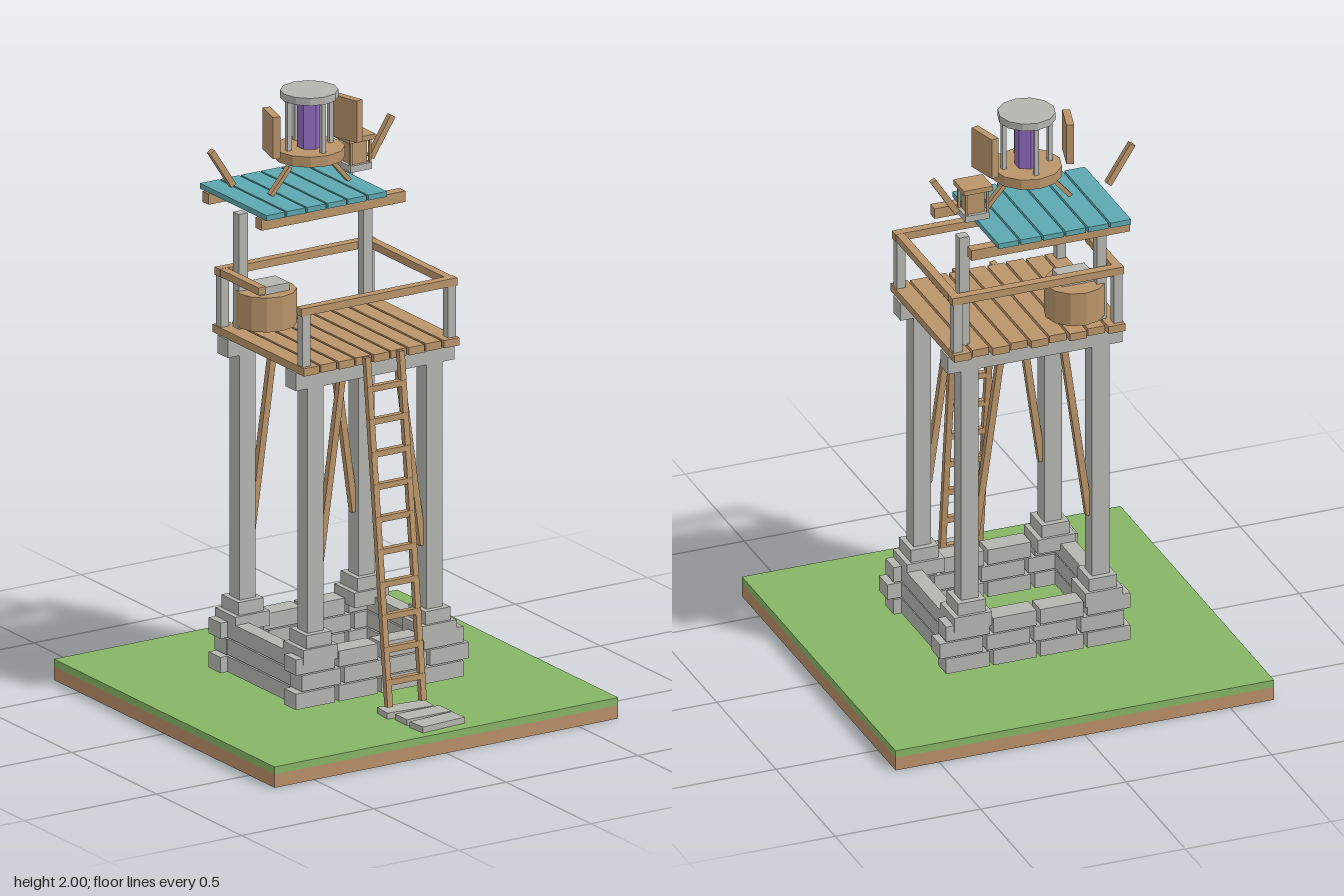
import * as THREE from 'three';

const mat = (name, color) => {
  const m = new THREE.MeshStandardMaterial({ color });
  m.name = name;
  return m;
};

export function createModel() {
  const root = new THREE.Group();
  root.name = 'watchtower';
  const stone = mat('stone', 0xb5b5b0), wood = mat('wood', 0xba946a);
  const grass = mat('grass', 0x86b566), soil = mat('soil', 0xb98f68);
  const teal = mat('teal roof', 0x5ca8b0), purple = mat('purple crystal', 0x8f6bbd);

  const add = (name, geo, m, x, y, z) => {
    const mesh = new THREE.Mesh(geo, m);
    mesh.name = name;
    mesh.position.set(x, y, z);
    root.add(mesh);
    return mesh;
  };
  // box given by its centre and size
  const box = (name, m, x, y, z, w, h, d) => add(name, new THREE.BoxGeometry(w, h, d), m, x, y, z);
  // square bar between two points
  const bar = (name, m, a, b, w, d = w) => {
    const p = new THREE.Vector3(...a), q = new THREE.Vector3(...b), dir = q.clone().sub(p);
    const mid = p.clone().add(q).multiplyScalar(0.5);
    const mesh = box(name, m, mid.x, mid.y, mid.z, w, dir.length(), d);
    mesh.quaternion.setFromUnitVectors(new THREE.Vector3(0, 1, 0), dir.normalize());
    return mesh;
  };
  const drum = (name, m, x, y, z, r, h, sides) => {
    const geo = new THREE.CylinderGeometry(r, r, h, sides).toNonIndexed();
    geo.computeVertexNormals();
    return add(name, geo, m, x, y, z);
  };

  // ground slab
  box('soil', soil, 0, 0.0225, 0, 1.3, 0.045, 1.3);
  box('grass', grass, 0, 0.0575, 0, 1.3, 0.025, 1.3);

  // stepping stones
  [[0, 0.41, -0.1], [0.014, 0.492, 0], [0.014, 0.575, 0.08]].forEach(([x, z, r]) => {
    box('steppingStone', stone, x, 0.08, z, 0.168, 0.02, 0.07).rotation.y = r;
  });

  // foundation courses
  for (let row = 0; row < 3; row++) {
    const y = 0.118 + row * 0.0575, shift = row === 1 ? 0.022 : 0;
    for (const s of [-1, 1]) {
      for (let i = 0; i < 4; i++) {
        box('foundationStone', stone, -0.2425 + i * 0.1617 + shift, y, s * 0.222, 0.148, 0.053, 0.07);
      }
      box('foundationSide', stone, s * 0.264, y, 0, 0.052, 0.053, 0.51);
    }
  }

  // legs, plinths, braces and rail posts
  for (const sx of [-1, 1]) {
    for (const sz of [-1, 1]) {
      const x = sx * 0.225, z = sz * 0.2;
      box('plinth', stone, x, 0.262, z, 0.13, 0.05, 0.12);
      box('legFoot', stone, x, 0.308, z, 0.095, 0.045, 0.1);
      box('leg', stone, x, 0.74, z, 0.06, 0.84, 0.06);
      bar('brace', wood, [sx * 0.195, 0.54, z], [sx * 0.108, 1.16, z], 0.022);
      box('railPost', stone, sx * 0.275, 1.32, sz * 0.24, 0.03, 0.17, 0.03);
    }
  }

  // platform beams and planks
  for (const s of [-1, 1]) box('platformBeam', stone, 0, 1.18, s * 0.2, 0.6, 0.06, 0.062);
  for (let i = 0; i < 9; i++) {
    box('floorPlank', wood, (i - 4) * 0.0662, 1.222, i % 2 ? 0.004 : 0, 0.058, 0.026, i % 2 ? 0.525 : 0.54);
  }

  // handrails, the left-hand one broken short
  box('frontRail', wood, 0, 1.418, 0.24, 0.59, 0.026, 0.03);
  box('backRail', wood, 0, 1.418, -0.24, 0.59, 0.026, 0.03);
  box('sideRail', wood, 0.279, 1.418, 0, 0.028, 0.025, 0.48);
  box('shortRail', wood, -0.279, 1.418, -0.12, 0.028, 0.025, 0.24);

  // barrel with a stone on its lid
  drum('barrel', wood, -0.165, 1.305, -0.157, 0.099, 0.115, 12);
  box('barrelStone', stone, -0.165, 1.375, -0.145, 0.11, 0.026, 0.085);

  // ladder
  const ladderZ = y => 0.41 - (y - 0.1) * 0.13 / 1.13;
  for (const s of [-1, 1]) {
    bar('ladderRail', wood, [s * 0.064, 0.1, 0.41], [s * 0.064, 1.235, ladderZ(1.235)], 0.02);
  }
  for (let i = 0; i < 10; i++) {
    const y = 0.18 + i * 0.1058;
    box('ladderRung', wood, 0, y, ladderZ(y), 0.148, 0.02, 0.02);
  }

  // roof posts, beams and planks
  for (const s of [-1, 1]) box('roofPost', stone, s * 0.236, 1.425, -0.195, 0.034, 0.39, 0.034);
  for (const z of [-0.345, -0.032]) box('roofBeam', wood, 0, 1.633, z, 0.545, 0.036, 0.036);
  for (let i = 0; i < 6; i++) {
    box('roofPlank', teal, -0.231 + i * 0.077, 1.661, -0.19, 0.07, 0.018, 0.392);
  }

  // beacon
  const cz = -0.157;
  drum('beaconBase', wood, 0, 1.793, cz, 0.114, 0.035, 12);
  drum('crystal', purple, 0, 1.888, cz, 0.039, 0.156, 6);
  drum('beaconCap', stone, 0, 1.988, cz, 0.093, 0.025, 12);
  for (let i = 0; i < 4; i++) {
    const a = i * Math.PI / 2;
    box('beaconPost', stone, Math.cos(a) * 0.079, 1.893, cz + Math.sin(a) * 0.079, 0.015, 0.166, 0.015);
  }
  for (const s of [-1, 1]) {
    box('shutter', wood, s * 0.143, 1.88, cz, 0.025, 0.14, 0.108).rotation.y = s * 0.26;
    bar('beaconStrut', wood, [s * 0.148, 1.672, cz], [s * 0.076, 1.755, cz], 0.014, 0.02);
    bar('flyingStick', wood, [s * 0.26, 1.713, -0.205], [s * 0.342, 1.84, -0.205], 0.02);
  }

  // hanging lantern box
  box('lanternTop', wood, 0.203, 1.797, -0.205, 0.1, 0.017, 0.09);
  box('lanternBody', wood, 0.203, 1.75, -0.205, 0.058, 0.08, 0.052);
  box('lanternBase', stone, 0.203, 1.699, -0.205, 0.082, 0.022, 0.075);
  for (const sx of [-1, 1]) for (const sz of [-1, 1]) {
    box('lanternPost', wood, 0.203 + sx * 0.036, 1.75, -0.205 + sz * 0.032, 0.008, 0.08, 0.008);
  }
  return root;
}
